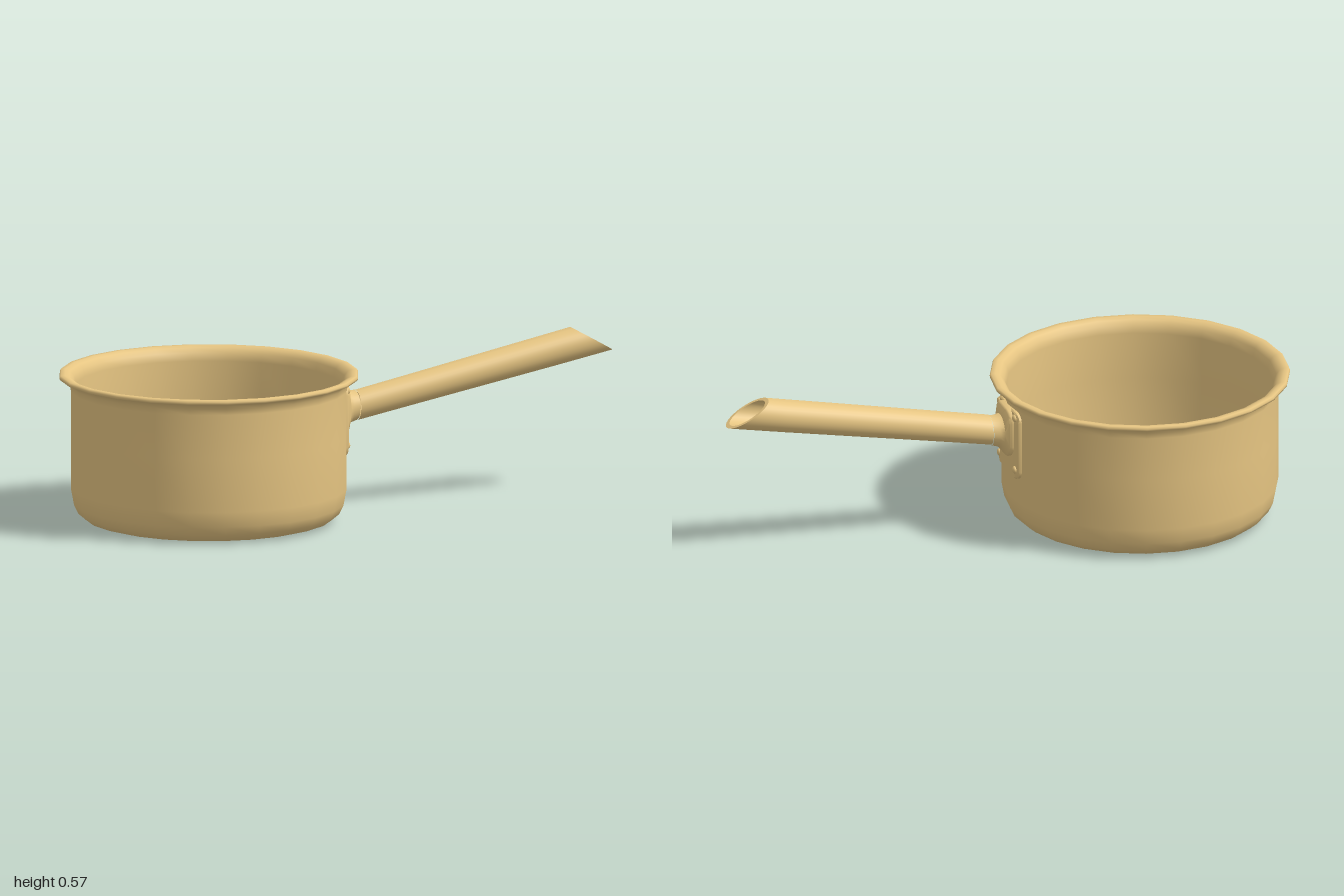
import * as THREE from 'three';
import { toCreasedNormals } from 'three/addons/utils/BufferGeometryUtils.js';

const material = new THREE.MeshStandardMaterial({ color: 0xe6c582 });
const POT_X = -0.485;

// how far a surface hugging the pot wall falls back at sideways offset z
const wrap = (z) => 1.05 * z * z;

// rounded rectangle in the zy plane, 32 points; place(z, s) gives x and y for each point
function ring(hw, hh, r, place) {
  const pts = [];
  for (let q = 0; q < 4; q++) {
    for (let i = 0; i < 8; i++) {
      const a = (q + (i + 0.5) / 8) * Math.PI / 2;
      const sz = q === 0 || q === 3 ? 1 : -1;
      const sy = q < 2 ? 1 : -1;
      const z = sz * (hw - r) + r * Math.cos(a);
      const dy = sy * (hh - r) + r * Math.sin(a);
      const [x, y] = place(z, dy, Math.sin(a));
      pts.push(new THREE.Vector3(x, y, z));
    }
  }
  return pts;
}

// skin joining consecutive rings
function loft(rings, crease) {
  const n = rings[0].length;
  const index = [];
  for (let j = 0; j < rings.length - 1; j++) {
    for (let i = 0; i < n; i++) {
      const a = j * n + i, b = j * n + (i + 1) % n;
      index.push(a, a + n, b, b, a + n, b + n);
    }
  }
  const g = new THREE.BufferGeometry().setFromPoints(rings.flat());
  g.setIndex(index);
  return toCreasedNormals(g, crease);
}

function add(group, name, geometry) {
  const mesh = new THREE.Mesh(geometry, material);
  mesh.name = name;
  group.add(mesh);
  return mesh;
}

// ring that follows the pot wall
const padRing = (cy, hw, hh, r, x, s = 1) =>
  ring(hw * s, hh * s, r * s, (z, dy) => [x - wrap(z), cy + dy]);

// handle axis height, and a round section of the handle
const axisY = (x) => 0.37 + 0.195 * (x - 0.1);
const tubeRing = (r, x) => ring(r, r, r, (z, dy) => [x, axisY(x) + dy]);

// slanted section at the open end
const cutRing = (r) => ring(r, r, r, (z, dy) => {
  const x = 0.925 - 0.075 * dy / 0.058;
  return [x, axisY(x) + dy];
});

export function createModel() {
  const model = new THREE.Group();
  model.name = 'saucepan';

  // pot: outside from the base up, over the rolled lip and down the inside
  const profile = [
    [0, 0], [0.39, 0], [0.425, 0.01], [0.45, 0.031], [0.465, 0.062], [0.475, 0.115],
    [0.475, 0.3], [0.475, 0.455], [0.479, 0.476], [0.49, 0.491], [0.506, 0.496],
    [0.514, 0.499], [0.515, 0.506], [0.511, 0.513], [0.496, 0.513], [0.48, 0.507],
    [0.467, 0.492], [0.459, 0.465], [0.458, 0.3], [0.458, 0.118], [0.449, 0.07],
    [0.434, 0.042], [0.412, 0.025], [0.38, 0.016], [0, 0.016],
  ].map(([x, y]) => new THREE.Vector2(x, y));
  add(model, 'pot', new THREE.LatheGeometry(profile, 24)).position.x = POT_X;

  // mounting plate curved round the pot wall
  const plate = (x, s) => padRing(0.3275, 0.112, 0.1225, 0.035, x, s);
  add(model, 'mountingPlate', loft([
    plate(-0.02, 1), plate(-0.004, 1), plate(0, 0.97),
    plate(0, 0.65), plate(0, 0.3), plate(0, 0),
  ], 0.7));

  // raised collar blending into the handle
  const collar = (x, s) => padRing(0.3625, 0.08, 0.0875, 0.05, x, s);
  add(model, 'handleCollar', loft([
    collar(-0.01, 1), collar(0.007, 1), collar(0.013, 0.95),
    tubeRing(0.062, 0.018), tubeRing(0.055, 0.032), tubeRing(0.052, 0.055),
  ], 0.8));

  // hollow handle: outer skin, slanted lip, then back down the bore
  const handle = add(model, 'handle', loft([
    tubeRing(0.052, 0.055), tubeRing(0.0535, 0.3), tubeRing(0.056, 0.6),
    tubeRing(0.0575, 0.8), cutRing(0.058), cutRing(0.048),
    tubeRing(0.047, 0.8), tubeRing(0.042, 0.06), tubeRing(0, 0.06),
  ], 0.7));
  handle.position.z = 0.005;

  // four domed rivets
  for (const z of [-0.085, 0.085]) {
    for (const y of [0.24, 0.43]) {
      const rivet = add(model, 'rivet', new THREE.SphereGeometry(0.013, 12, 8));
      rivet.scale.x = 0.7;
      rivet.position.set(-wrap(z), y, z);
    }
  }
  return model;
}
